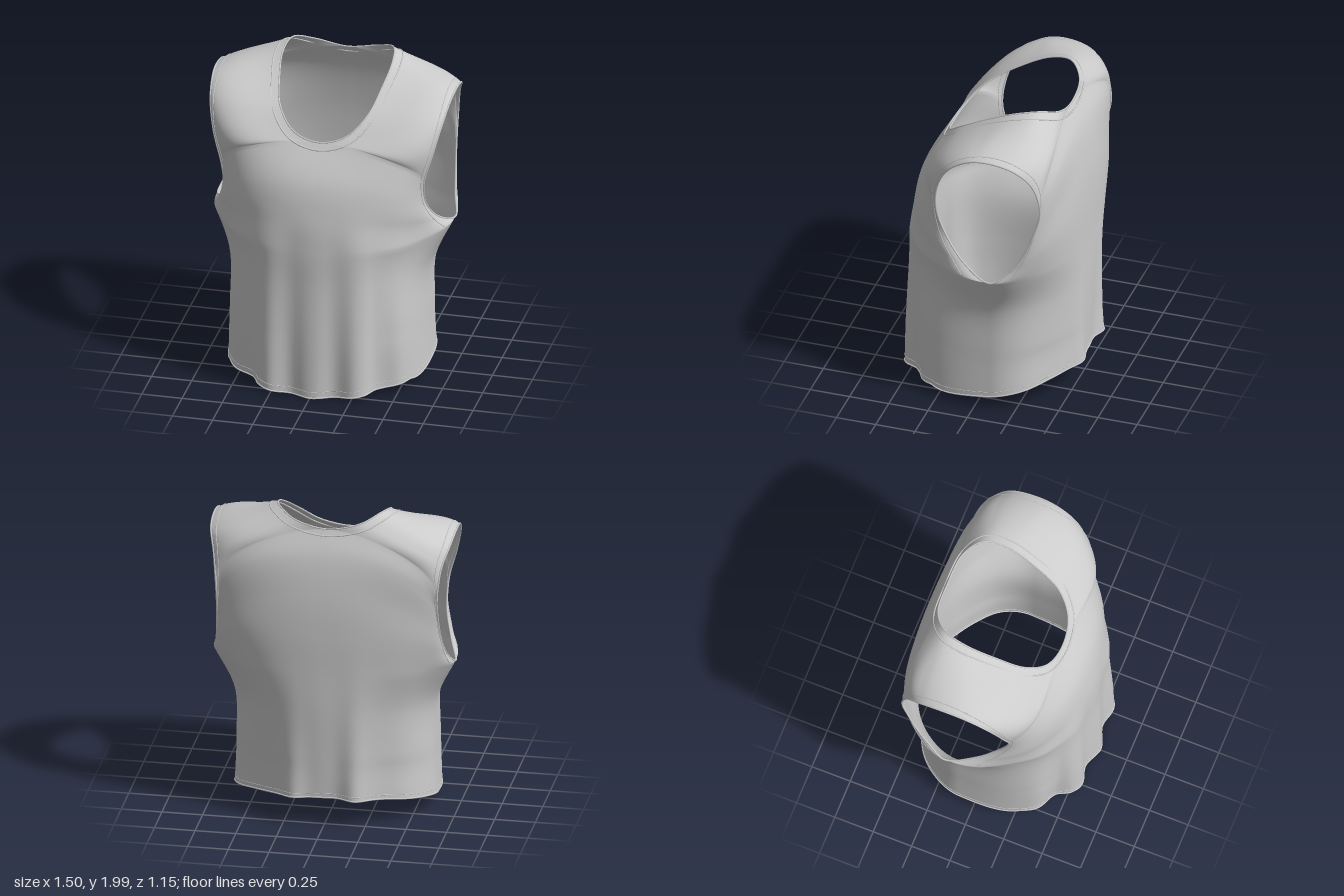
import * as THREE from 'three';
import { mergeVertices } from 'three/addons/utils/BufferGeometryUtils.js';

const V = (p) => new THREE.Vector3(...p);
const curve = (pts, closed = false) => new THREE.CatmullRomCurve3(pts.map(V), closed);
const bell = (x, centre, width) => Math.exp(-(((x - centre) / width) ** 2));
const { clamp, lerp, smoothstep } = THREE.MathUtils;
const HALF = Math.PI / 2;

// Guide curves for the wearer's left half. The row value v runs from the front
// hem (0), over the shoulder (10), down to the back hem (20).
const frontCentre = curve([
  [0, 0.015, 0.55], [0, 0.4, 0.55], [0, 0.75, 0.545], [0, 0.98, 0.545],
  [0, 1.18, 0.53], [0, 1.4, 0.475], [0, 1.62, 0.335],
]);
const backCentre = curve([
  [0, 1.91, -0.42], [0, 1.75, -0.49], [0, 1.5, -0.535], [0, 1.25, -0.55],
  [0, 1, -0.55], [0, 0.75, -0.55], [0, 0.45, -0.54], [0, 0.195, -0.53],
]);
const sideSeam = curve([
  [0.62, 0.1, -0.1], [0.61, 0.4, -0.1], [0.62, 0.72, -0.1], [0.74, 0.99, -0.14],
]);
const neckHalf = [
  [0, 1.62, 0.335], [0.16, 1.66, 0.305], [0.27, 1.765, 0.2], [0.32, 1.88, 0.02],
  [0.34, 1.97, -0.17], [0.31, 1.995, -0.31], [0.2, 1.95, -0.4], [0, 1.91, -0.42],
];
const neckPts = [
  ...neckHalf,
  ...neckHalf.slice(1, -1).reverse().map(([x, y, z]) => [-x, y, z]),
];
const neck = curve(neckPts, true);
const armhole = curve([
  [0.74, 0.99, -0.14], [0.68, 1.06, 0.04], [0.63, 1.2, 0.17], [0.63, 1.37, 0.235],
  [0.68, 1.56, 0.22], [0.72, 1.73, 0.14], [0.74, 1.83, 0], [0.745, 1.85, -0.14],
  [0.735, 1.81, -0.3], [0.7, 1.7, -0.4], [0.68, 1.52, -0.44], [0.68, 1.35, -0.4],
  [0.69, 1.2, -0.34], [0.71, 1.07, -0.25],
], true);

// Cross-section at every row: squareness, outward bulge, and how evenly the
// height drops (0 stays level near the centre, 1 is a straight slope)
const section = curve([
  [0.7, 0, 0], [0.7, 0, 0], [0.71, 0, 0], [0.73, 0, 0], [0.9, 0, 0],
  [0.95, 0.015, 0], [1, 0.045, 0], [1, 0.035, 0.3], [1, 0.01, 0.7], [1, 0, 1],
  [1, 0, 1], [1, -0.02, 1], [1, -0.03, 0.65], [1, -0.025, 0.15], [0.95, -0.02, 0],
  [0.88, 0, 0], [0.82, 0, 0], [0.84, 0, 0], [0.94, 0, 0], [1, 0, 0], [1, 0, 0],
]);

function innerEdge(v) {
  if (v <= 6) return frontCentre.getPoint(v / 6);
  if (v <= 13) return neck.getPoint((v - 6) / 14);
  return backCentre.getPoint((v - 13) / 7);
}

function outerEdge(v) {
  if (v <= 3) return sideSeam.getPoint(v / 3);
  if (v < 17) return armhole.getPoint((v - 3) / 14);
  return sideSeam.getPoint((20 - v) / 3);
}

// Point on the cloth: angle 0 is the centre or neck edge, HALF the side or armhole
function cloth(side, v, angle) {
  const a = innerEdge(v), b = outerEdge(v), s = section.getPoint(v / 20);
  const front = v < 10;
  const sin = Math.sin(angle), cos = Math.max(0, Math.cos(angle));
  const across = Math.pow(sin, s.x);
  const depth = Math.pow(cos, s.x);
  const middle = Math.sin(2 * angle) ** 2;
  // the cloth under the arm is pinched outwards into a narrow tip
  const tip = (front ? 0.1 : 0.06) * bell(Math.min(v, 20 - v), 3, 0.9);
  const p = new THREE.Vector3(
    side * (lerp(a.x, b.x - tip, across) + tip * sin ** 12),
    lerp(a.y, b.y, lerp(1 - depth, across, s.z)) + 0.018 * bell(v, 8.5, 2) * middle,
    lerp(b.z, a.z, depth) + s.y * middle,
  );
  // hanging folds grow towards the hem; the front has a deep pleat at each side
  const hang = clamp((1.25 - p.y) / 1.2, 0, 1) * Math.min(1, cos * 2);
  const x = Math.abs(p.x);
  const ripple = 0.005 * Math.sin(23 * p.x + 0.6);
  if (front) {
    p.z += hang * (0.008 + 0.018 * Math.cos(23 * x) + ripple);
    p.z -= 0.04 * hang * hang * smoothstep(x, 0.33, 0.38);
    p.y += 0.03 * hang ** 4 * smoothstep(x, 0.1, 0.4);
  } else {
    p.z -= hang * (0.06 * hang * bell(x, 0.19, 0.08) + ripple);
  }
  return p;
}

function bodyGeometry(rows = 160, cols = 44) {
  const pos = [], index = [];
  for (const side of [1, -1]) {
    const base = pos.length / 3;
    for (let r = 0; r <= rows; r++) {
      for (let k = 0; k <= cols; k++) {
        pos.push(...cloth(side, (20 * r) / rows, (HALF * k) / cols).toArray());
      }
    }
    for (let r = 0; r < rows; r++) {
      for (let k = 0; k < cols; k++) {
        const a = base + r * (cols + 1) + k, b = a + 1, d = a + cols + 1, e = d + 1;
        if (side > 0) index.push(a, b, e, a, e, d);
        else index.push(a, e, b, a, d, e);
      }
    }
  }
  const g = new THREE.BufferGeometry();
  g.setAttribute('position', new THREE.Float32BufferAttribute(pos, 3));
  g.setIndex(index);
  // weld centre and side seams so the shading is continuous
  const welded = mergeVertices(g, 1e-4);
  welded.computeVertexNormals();
  return welded;
}

// Closed line around the body, a given number of rows above the hem
function hemLine(up, n = 40) {
  const pts = [];
  const run = (side, v, outward) => {
    for (let i = 0; i < n; i++) pts.push(cloth(side, v, HALF * (outward ? i / n : 1 - i / n)));
  };
  run(1, up, true);
  run(1, 20 - up, false);
  run(-1, 20 - up, true);
  run(-1, up, false);
  return new THREE.CatmullRomCurve3(pts, true);
}

export function createModel() {
  const group = new THREE.Group();
  const material = new THREE.MeshStandardMaterial({ color: 0xcccccc, side: THREE.DoubleSide });
  const add = (name, geometry) => {
    const mesh = new THREE.Mesh(geometry, material);
    mesh.name = name;
    group.add(mesh);
  };
  const cord = (name, path, radius, segments = 160, closed = true) =>
    add(name, new THREE.TubeGeometry(path, segments, radius, 6, closed));

  add('shirtBody', bodyGeometry());

  // neckline: rolled edge and the stitched line around its band
  cord('necklineEdge', neck, 0.005);
  cord('necklineStitch', curve(neckPts.map(([x, y, z]) => {
    const nx = x / 0.34, nz = (z + 0.045) / 0.38;
    return [x + 0.05 * nx, y - 0.01 - 0.03 * nz * nz, z + (nz > 0 ? 0.03 : 0.018) * nz];
  }), true), 0.005);

  // armholes: rolled edge and stitch line on both sides
  for (const [label, side] of [['left', 1], ['right', -1]]) {
    const edge = [], stitch = [];
    for (let i = 0; i < 56; i++) edge.push(cloth(side, 3 + i / 4, HALF));
    for (let i = 0; i <= 54; i++) {
      const v = 3.25 + i / 4;
      stitch.push(cloth(side, v, HALF - 0.15 - 0.3 * bell(v, 10, 2.5)));
    }
    cord(label + 'ArmholeEdge', new THREE.CatmullRomCurve3(edge, true), 0.006);
    cord(label + 'ArmholeStitch', new THREE.CatmullRomCurve3(stitch), 0.003, 160, false);
  }

  // bottom hem: rolled edge and stitch line
  cord('hemEdge', hemLine(0), 0.005, 320);
  cord('hemStitch', hemLine(0.1), 0.002, 320);

  return group;
}
